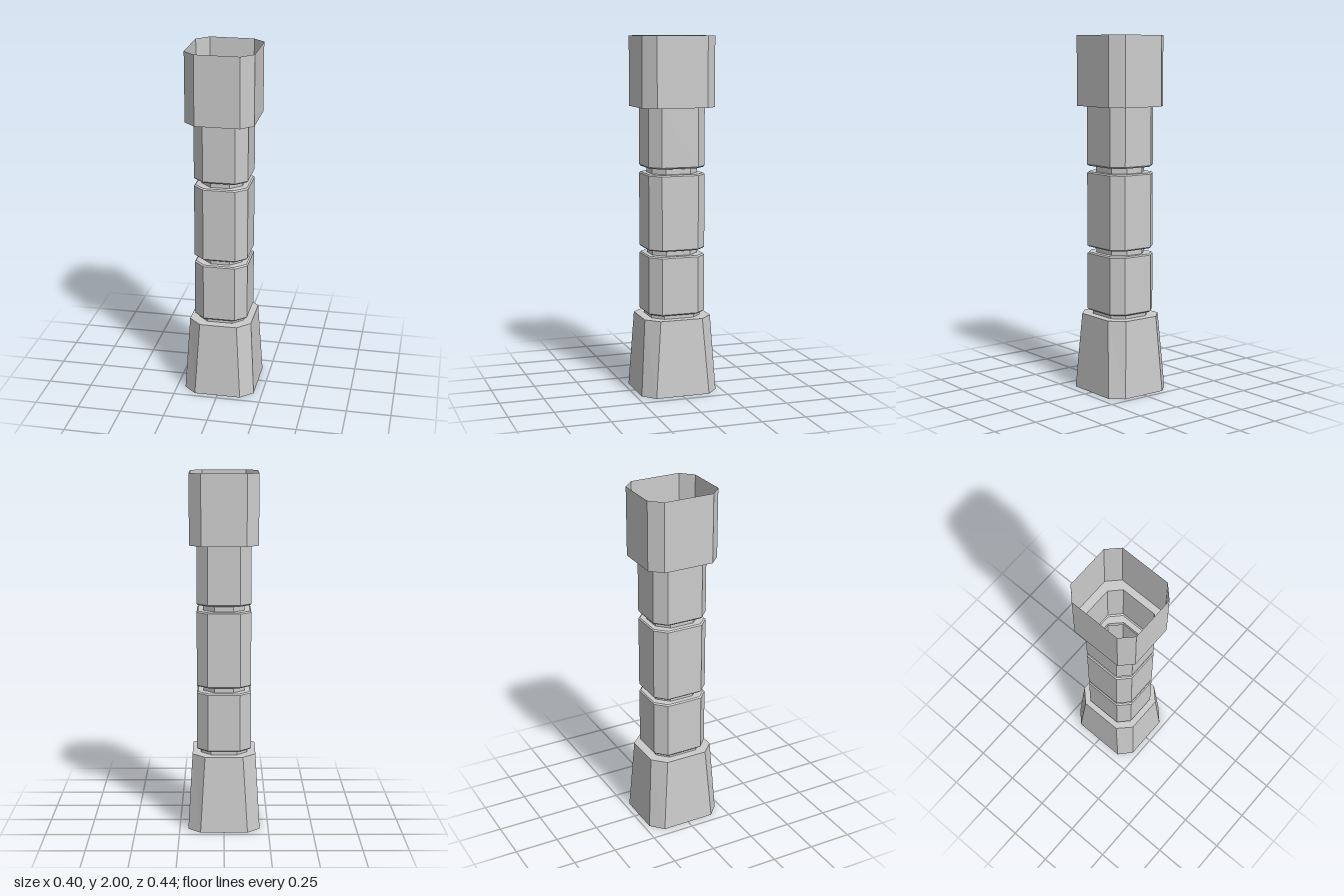
import * as THREE from 'three';

const material = new THREE.MeshStandardMaterial({ color: 0xcccccc, flatShading: true, side: THREE.DoubleSide });

// Chamfered-rectangle sections: half width, half depth, and where the flat sides end in x and z
const BASE_BOTTOM = [0.202, 0.22, 0.132, 0.155];
const BASE_TOP = [0.177, 0.193, 0.106, 0.122];
const LOW_NECK = [0.13, 0.143, 0.072, 0.085];
const BEVEL = [0.144, 0.157, 0.085, 0.1];
const SHAFT = [0.151, 0.163, 0.09, 0.105];
const NECK = [0.115, 0.131, 0.053, 0.07];
const CUP = [0.19, 0.21, 0.124, 0.145];
const POINT = [0, 0, 0, 0];

function ring([y, [x, z, cx, cz]]) {
  return [[x, cz], [cx, z], [-cx, z], [-x, cz], [-x, -cz], [-cx, -z], [cx, -z], [x, -cz]]
    .map(([px, pz]) => [px, y, pz]);
}

// Skin a list of [height, section] steps from bottom to top
function loft(name, steps) {
  const rings = steps.map(ring);
  const pos = [];
  for (let s = 0; s < rings.length - 1; s++) {
    for (let i = 0; i < 8; i++) {
      const j = (i + 1) % 8;
      const a = rings[s][i], b = rings[s][j], c = rings[s + 1][j], d = rings[s + 1][i];
      pos.push(...a, ...d, ...c);
      if (steps[s][1] !== POINT) pos.push(...a, ...c, ...b);
    }
  }
  const geometry = new THREE.BufferGeometry();
  geometry.setAttribute('position', new THREE.Float32BufferAttribute(pos, 3));
  geometry.computeVertexNormals();
  const mesh = new THREE.Mesh(geometry, material);
  mesh.name = name;
  return mesh;
}

export function createModel() {
  const group = new THREE.Group();
  group.name = 'segmentedColumn';
  group.add(
    // Tapered foot with a closed underside and a flat shoulder
    loft('base', [[0, POINT], [0, BASE_BOTTOM], [0.432, BASE_TOP], [0.432, LOW_NECK]]),
    loft('lowerNeck', [[0.432, LOW_NECK], [0.454, LOW_NECK]]),
    // Bevelled shaft blocks separated by narrow necks
    loft('lowerShaft', [[0.454, LOW_NECK], [0.454, BEVEL], [0.461, SHAFT], [0.78, SHAFT], [0.787, BEVEL], [0.787, NECK]]),
    loft('middleNeck', [[0.787, NECK], [0.818, NECK]]),
    loft('middleShaft', [[0.818, NECK], [0.818, BEVEL], [0.825, SHAFT], [1.236, SHAFT], [1.243, BEVEL], [1.243, NECK]]),
    loft('upperNeck', [[1.243, NECK], [1.276, NECK]]),
    loft('upperShaft', [[1.276, NECK], [1.276, BEVEL], [1.284, SHAFT], [1.61, SHAFT]]),
    // Wide thin-walled cup, open at the top
    loft('cup', [[1.61, SHAFT], [1.61, CUP], [2, CUP]]),
  );
  return group;
}
